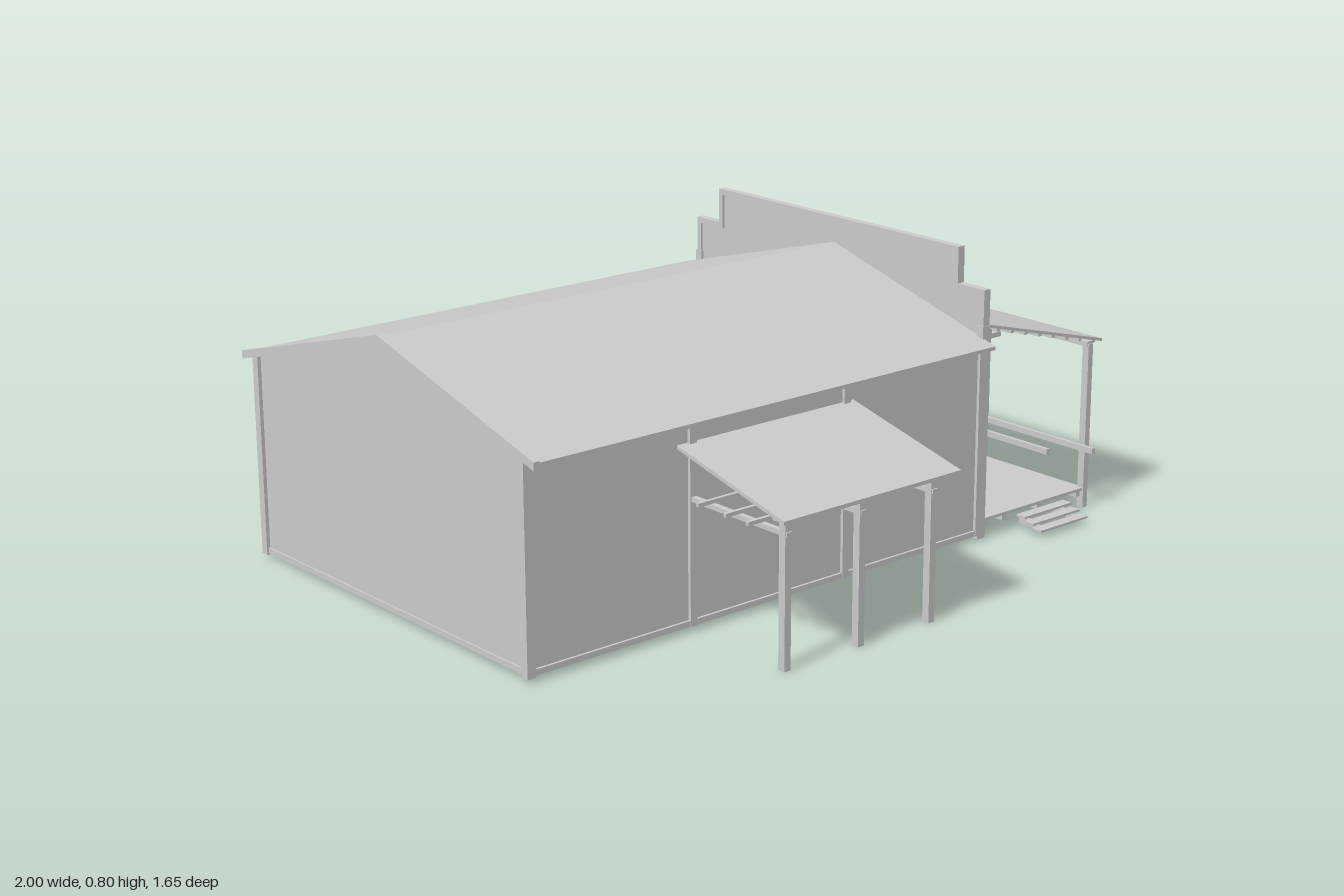
import * as THREE from 'three';

const mat = new THREE.MeshStandardMaterial({ color: 0xcccccc, flatShading: true });

export function createModel() {
  const root = new THREE.Group();

  const add = (name, geo, parent = root) => {
    const m = new THREE.Mesh(geo, mat);
    m.name = name;
    parent.add(m);
    return m;
  };
  const group = (name) => {
    const g = new THREE.Group();
    g.name = name;
    root.add(g);
    return g;
  };
  // box given by its min and max on each axis
  const box = (name, x0, x1, y0, y1, z0, z1, parent) =>
    add(name, new THREE.BoxGeometry(x1 - x0, y1 - y0, z1 - z0)
      .translate((x0 + x1) / 2, (y0 + y1) / 2, (z0 + z1) / 2), parent);
  const toShape = (pts) => new THREE.Shape(pts.map((p) => new THREE.Vector2(...p)));
  // outline in (z, y), extruded along x
  const alongX = (name, pts, x0, x1, hole, parent) => {
    const s = toShape(pts);
    if (hole) s.holes.push(toShape(hole));
    const g = new THREE.ExtrudeGeometry(s, { depth: x1 - x0, bevelEnabled: false });
    return add(name, g.rotateY(-Math.PI / 2).translate(x1, 0, 0), parent);
  };
  // outline in (x, y), extruded along z
  const alongZ = (name, pts, z0, z1, parent) =>
    add(name, new THREE.ExtrudeGeometry(toShape(pts), { depth: z1 - z0, bevelEnabled: false })
      .translate(0, 0, z0), parent);
  // thin sloping strip between two profile points
  const strip = (a, b, t) => [a, b, [b[0], b[1] - t], [a[0], a[1] - t]];
  const rect = (a0, a1, b0, b1) => [[a0, b0], [a1, b0], [a1, b1], [a0, b1]];

  const zF = 0.44, zB = -0.72, ridgeZ = -0.14, ridgeY = 0.727, eaveY = 0.555;

  // long side walls, open underneath, with panel trim
  for (const [label, z, s] of [['front', zF, 1], ['back', zB, -1]]) {
    const g = group(label + 'Wall');
    const inner = z - s * 0.015, face = z - s * 0.005;
    const span = (a, b) => [Math.min(a, b), Math.max(a, b)];
    box('wallPanel', -0.985, 0.53, 0.02, 0.56, ...span(inner, face), g);
    for (const x of [-0.985, -0.485, 0.03, 0.525])
      box('wallStud', x - 0.011, x + 0.011, 0.015, 0.56, ...span(inner, z + s * 0.004), g);
    box('wallSill', -0.99, 0.53, 0.015, 0.03, ...span(inner, z + s * 0.002), g);
    box('wallPlate', -0.99, 0.53, 0.545, 0.56, ...span(inner, z + s * 0.002), g);
  }

  // far gable wall
  alongX('gableWall', [[zB, 0.02], [zF, 0.02], [zF, 0.56], [ridgeZ, 0.718], [zB, 0.56]], -0.99, -0.978);
  for (const z of [zF - 0.008, zB + 0.008])
    box('gableCornerPost', -1, -0.975, 0.01, 0.56, z - 0.012, z + 0.012);
  box('gableSill', -0.995, -0.975, 0.015, 0.03, zB, zF);

  // main roof
  const ridge = [ridgeZ, ridgeY];
  const roof = group('mainRoof');
  for (const z of [0.485, -0.775]) {
    alongX('roofSlope', strip([z, eaveY], ridge, 0.01).slice()[z > 0 ? 'reverse' : 'slice'](), -0.99, 0.528, null, roof);
    alongX('bargeBoard', strip([z, eaveY + 0.004], [ridgeZ, ridgeY + 0.005], 0.022), -1, -0.983, null, roof);
    const s = Math.sign(z);
    box('eaveBoard', -0.99, 0.53, eaveY - 0.012, eaveY - 0.002, z - s * 0.012 - 0.006, z - s * 0.012 + 0.006, roof);
  }

  // stepped false front with raised border
  const facade = group('falseFront');
  const outline = (d) => [[zB + d, 0.02 + d], [0.443 - d, 0.02 + d], [0.443 - d, 0.70 - d],
    [0.345 - d, 0.70 - d], [0.345 - d, 0.80 - d], [-0.623 + d, 0.80 - d],
    [-0.623 + d, 0.70 - d], [zB + d, 0.70 - d]];
  alongX('facadePanel', outline(0.004), 0.53, 0.54, null, facade);
  alongX('facadeBorder', outline(0), 0.524, 0.547, outline(0.016), facade);
  for (const z of [zF - 0.008, zB + 0.008])
    box('facadeCornerPost', 0.522, 0.55, 0.005, 0.60, z - 0.012, z + 0.012, facade);

  // framed openings on the false front
  const opening = (name, z0, z1, y0, y1) => {
    const g = group(name);
    alongX('outerFrame', rect(z0, z1, y0, y1), 0.538, 0.552, rect(z0 + 0.015, z1 - 0.015, y0 + 0.01, y1 - 0.015), g);
    alongX('innerFrame', rect(z0 + 0.015, z1 - 0.015, y0 + 0.01, y1 - 0.015), 0.538, 0.546,
      rect(z0 + 0.024, z1 - 0.024, y0 + 0.018, y1 - 0.024), g);
    box('headTrim', 0.538, 0.556, y1 - 0.012, y1, z0 - 0.005, z1 + 0.005, g);
  };
  opening('windowLeft', 0.10, 0.304, 0.20, 0.44);
  opening('windowRight', -0.58, -0.38, 0.20, 0.44);
  opening('door', -0.242, -0.042, 0.06, 0.44);

  // porch deck, joists and steps
  const porch = group('porch');
  box('porchDeck', 0.545, 0.955, 0.05, 0.058, zB, zF, porch);
  for (const x of [0.56, 0.63, 0.77, 0.93])
    box('deckJoist', x - 0.008, x + 0.008, 0.036, 0.05, zB, zF, porch);
  for (const s of [1, -1]) {
    const z0 = s > 0 ? zF : -0.725;
    const steps = group('steps');
    for (let i = 0; i < 3; i++) {
      const z = z0 + s * (0.025 + i * 0.03), y = 0.045 - i * 0.012;
      box('tread', 0.67, 0.858, y - 0.006, y, z - 0.016, z + 0.016, steps);
    }
    for (const x of [0.695, 0.833])
      alongX('stringer', [[z0, 0.012], [z0 + s * 0.09, 0.012], [z0 + s * 0.09, 0.018], [z0, 0.04]],
        x - 0.005, x + 0.005, null, steps);
  }

  // porch posts, roof and framing
  const roofY = (x) => 0.603 - (x - 0.545) * 0.262;
  for (const z of [0.432, 0.047, -0.325, -0.709]) {
    box('porchPost', 0.948, 0.966, 0, 0.475, z - 0.011, z + 0.011, porch);
    box('rafterBlock', 0.545, 0.595, 0.562, 0.575, z - 0.008, z + 0.008, porch);
  }
  box('porchBeam', 0.945, 0.968, 0.468, 0.482, zB, zF, porch);
  box('porchLedger', 0.545, 0.56, 0.57, 0.588, zB, zF, porch);
  alongZ('porchRoof', strip([0.545, roofY(0.545)], [1, roofY(1)], 0.008), -0.73, 0.445, porch);
  for (let i = 0; i < 8; i++) {
    const x = 0.585 + i * 0.055;
    box('porchPurlin', x - 0.006, x + 0.006, roofY(x) - 0.016, roofY(x) - 0.006, zB, zF, porch);
  }
  box('upperRail', 0.937, 0.949, 0.168, 0.184, -0.53, 0.48, porch);
  box('lowerRail', 0.937, 0.949, 0.126, 0.142, -0.72, 0.312, porch);

  // side awning on posts
  const awning = group('sideAwning');
  alongX('awningRoof', [[0.435, 0.49], [0.435, 0.48], [0.82, 0.386], [0.82, 0.396]], -0.53, 0.058, null, awning);
  for (const x of [-0.485, -0.243, 0]) {
    box('awningPost', x - 0.01, x + 0.01, 0, 0.393, 0.764, 0.786, awning);
    box('awningTie', x - 0.008, x + 0.008, 0.34, 0.352, 0.39, 0.79, awning);
  }
  box('awningBeam', -0.52, 0.05, 0.385, 0.395, 0.768, 0.784, awning);
  for (const z of [0.69, 0.61, 0.51])
    box('awningRod', -0.53, 0.02, 0.352, 0.362, z - 0.005, z + 0.005, awning);

  return root;
}
